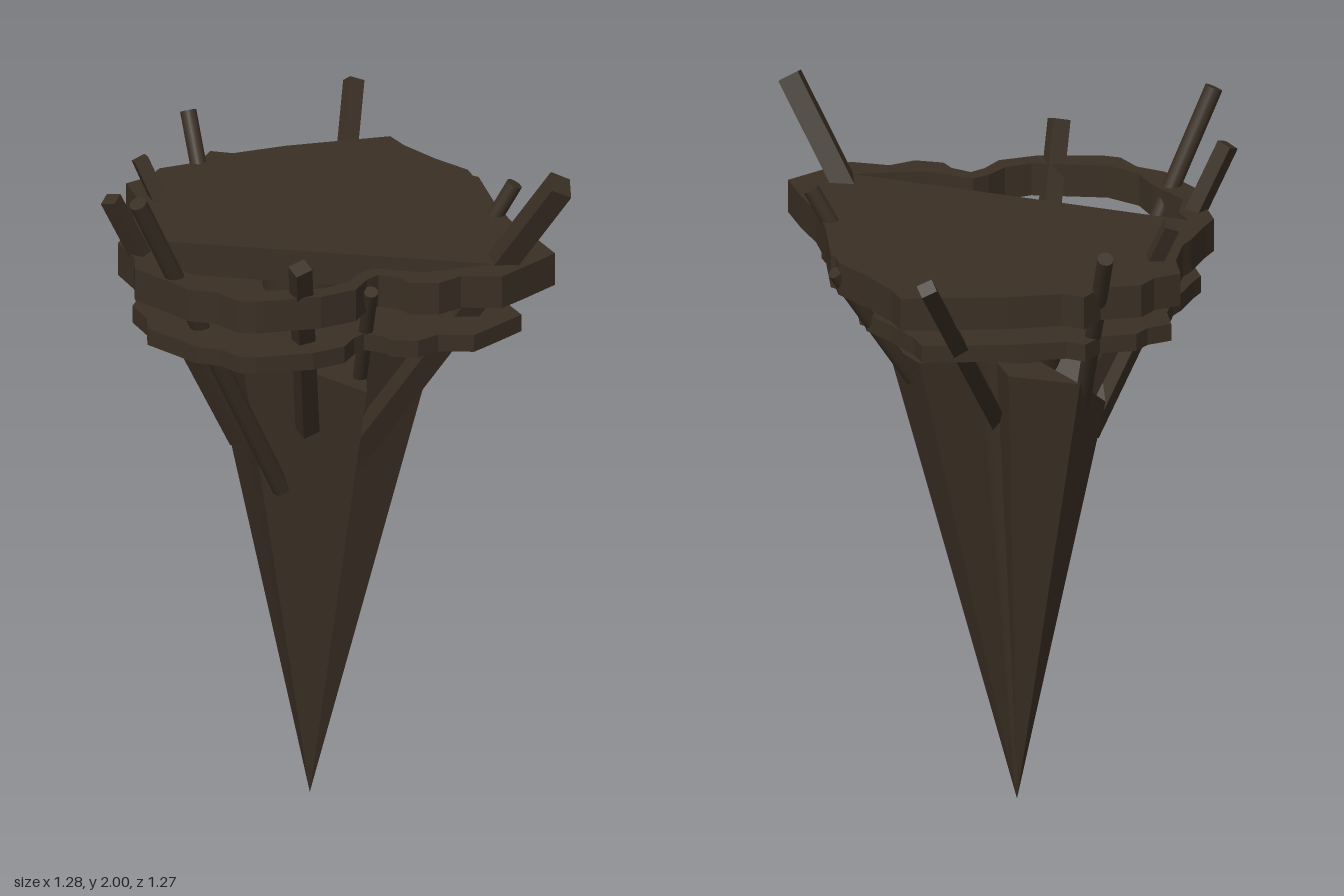
import * as THREE from 'three';

const darkWood = new THREE.MeshStandardMaterial({ color: 0x3a2f24 });
darkWood.name = 'darkWood';

// ragged platform outline and the gap behind its front rim, as [x, z]
const outline = [
  [0.22, -0.46], [0.25, -0.4], [0.33, -0.3], [0.37, -0.26], [0.41, -0.22], [0.42, -0.18], [0.435, -0.17],
  [0.465, 0.02], [0.5, 0.14], [0.55, 0.24], [0.595, 0.35], [0.5, 0.435], [0.435, 0.49], [0.325, 0.475],
  [0.26, 0.515], [0.18, 0.505], [0.155, 0.47], [0.1, 0.445], [0.065, 0.475], [0.03, 0.535], [-0.07, 0.575],
  [-0.25, 0.59], [-0.3, 0.58], [-0.35, 0.52], [-0.43, 0.49], [-0.47, 0.44], [-0.56, 0.34], [-0.555, 0.27],
  [-0.59, 0.17], [-0.57, 0.12], [-0.54, 0.02], [-0.52, -0.02], [-0.51, -0.13], [-0.53, -0.22],
  [-0.46, -0.26], [-0.43, -0.31], [-0.32, -0.34], [-0.28, -0.41], [-0.22, -0.39], [-0.07, -0.425],
];
const gap = [
  [-0.52, 0.155], [-0.49, 0.21], [-0.495, 0.3], [-0.4, 0.4], [-0.36, 0.47], [-0.27, 0.52], [-0.06, 0.52],
  [0.01, 0.485], [0.05, 0.43], [0.09, 0.4], [0.22, 0.44], [0.29, 0.43], [0.42, 0.405],
];
const slit = [[-0.43, 0.3], [-0.43, 0.303], [-0.05, 0.473], [-0.05, 0.469]];

// top corners of the splintered spike, as [x, z, height]
const spikeRim = [
  [-0.31, -0.05, 1.25], [-0.28, 0.08, 1.35], [-0.25, 0.2, 1.35], [-0.12, 0.23, 1.35], [0.07, 0.43, 1.35],
  [0.09, 0.16, 1.35], [0.3, 0.07, 1.35], [0.2, -0.06, 1.35], [0.02, 0.04, 1.35], [-0.05, -0.13, 1.35],
  [-0.25, -0.17, 1.35],
];

// stakes: top, bottom, width, depth (depth 0 = round)
const stakes = [
  [[0.6, 1.97, 0.47], [0.06, 1.03, 0.13], 0.075, 0.06],
  [[-0.62, 1.89, 0.27], [-0.25, 1.08, 0.12], 0.045, 0.04],
  [[-0.565, 1.97, 0.48], [-0.14, 0.95, 0.17], 0.05, 0],
  [[-0.34, 1.83, -0.42], [-0.24, 1.2, -0.06], 0.045, 0],
  [[-0.13, 1.81, 0.6], [-0.08, 1.18, 0.29], 0.05, 0.045],
  [[0.135, 1.81, -0.62], [-0.01, 1.15, 0.02], 0.045, 0.04],
  [[-0.5, 1.82, -0.14], [-0.25, 1.25, -0.03], 0.045, 0.04],
  [[0.42, 1.68, -0.22], [0.22, 1.3, -0.05], 0.04, 0],
  [[0.51, 1.8, 0.08], [0.2, 1.25, 0.07], 0.045, 0],
  [[0.075, 1.68, 0.49], [0.05, 1.1, 0.2], 0.04, 0],
];

const toPoints = (list) => list.map(([x, z]) => new THREE.Vector2(x, z));

function platform(name, points, hole, top, thickness) {
  const shape = new THREE.Shape(toPoints(points));
  shape.holes.push(new THREE.Path(toPoints(hole)));
  const geometry = new THREE.ExtrudeGeometry(shape, { depth: thickness, bevelEnabled: false });
  geometry.rotateX(Math.PI / 2).translate(0, top, 0);
  const mesh = new THREE.Mesh(geometry, darkWood);
  mesh.name = name;
  return mesh;
}

function stake([top, bottom, width, depth]) {
  const a = new THREE.Vector3(...top);
  const b = new THREE.Vector3(...bottom);
  const length = a.distanceTo(b);
  const geometry = depth
    ? new THREE.BoxGeometry(width, length, depth).rotateY(0.6)
    : new THREE.CylinderGeometry(width / 2, width / 2, length, 16);
  const mesh = new THREE.Mesh(geometry, darkWood);
  const up = a.clone().sub(b).normalize();
  // square stakes are twisted a little from the tangent of the spike
  const side = new THREE.Vector3(-up.z, 0, up.x).normalize();
  const out = new THREE.Vector3().crossVectors(side, up);
  mesh.quaternion.setFromRotationMatrix(new THREE.Matrix4().makeBasis(side, up, out));
  mesh.position.copy(a).add(b).multiplyScalar(0.5);
  mesh.name = 'stake';
  return mesh;
}

// faceted point: sides down to the tip, plus a lid
function spike() {
  const positions = [];
  spikeRim.forEach(([x, z, y], i) => {
    const [nx, nz, ny] = spikeRim[(i + 1) % spikeRim.length];
    positions.push(-0.055, 0, 0.095, nx, ny, nz, x, y, z);
    positions.push(-0.03, 1.35, 0.1, x, y, z, nx, ny, nz);
  });
  const geometry = new THREE.BufferGeometry();
  geometry.setAttribute('position', new THREE.Float32BufferAttribute(positions, 3));
  geometry.computeVertexNormals();
  const mesh = new THREE.Mesh(geometry, darkWood);
  mesh.name = 'spike';
  return mesh;
}

export function createModel() {
  const model = new THREE.Group();
  model.name = 'spikedWatchPost';
  model.add(spike());

  // round core: tapered inside the spike, straight above it
  const taper = new THREE.Mesh(new THREE.CylinderGeometry(0.13, 0.01, 1.3, 32), darkWood);
  taper.name = 'coreTaper';
  taper.position.set(-0.055, 0.7, 0.09);
  const column = new THREE.Mesh(new THREE.CylinderGeometry(0.13, 0.13, 0.29, 32), darkWood);
  column.name = 'coreColumn';
  column.position.set(-0.055, 1.49, 0.09);
  model.add(taper, column);

  // the lower platform is a smaller, shifted copy of the upper outline
  const lower = outline.map(([x, z]) => [x * 0.89 - 0.027, z * 0.88 + 0.043]);
  model.add(platform('upperPlatform', outline, gap, 1.71, 0.095));
  model.add(platform('lowerPlatform', lower, slit, 1.53, 0.05));

  const ring = new THREE.Group();
  ring.name = 'stakes';
  stakes.forEach((s) => ring.add(stake(s)));
  model.add(ring);
  return model;
}
